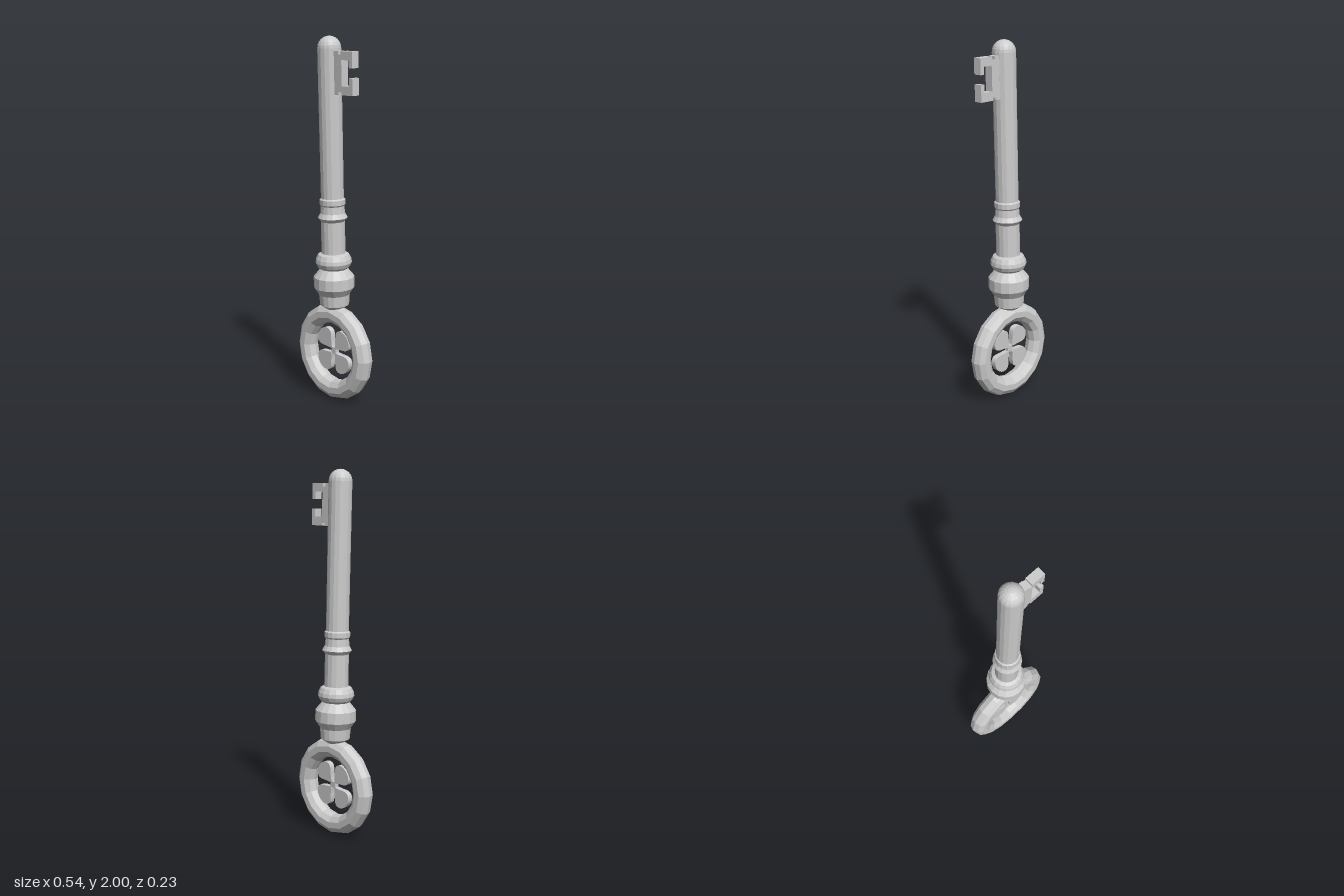
import * as THREE from 'three';

const material = new THREE.MeshStandardMaterial({ color: 0xcccccc, flatShading: true });

function add(parent, name, geometry, x = 0, y = 0, z = 0) {
  const mesh = new THREE.Mesh(geometry, material);
  mesh.name = name;
  mesh.position.set(x, y, z);
  parent.add(mesh);
  return mesh;
}

// Extrude a shape so that its depth is centred on z = 0
function plate(shape, depth) {
  const geometry = new THREE.ExtrudeGeometry(shape, { depth, bevelEnabled: false, curveSegments: 5 });
  return geometry.translate(0, 0, -depth / 2);
}

const points = (list) => list.map(([x, y]) => new THREE.Vector2(x, y));

export function createModel() {
  const key = new THREE.Group();
  key.name = 'key';

  // Round bow
  add(key, 'bowRing', new THREE.TorusGeometry(0.218, 0.054, 10, 16), -0.002, 0.272, -0.005);

  // Four-petalled ornament inside the bow
  const flower = new THREE.Group();
  flower.name = 'flower';
  flower.position.set(0, 0.278, -0.005);
  key.add(flower);
  const half = [[0.024, 0.007], [0.045, 0.023], [0.07, 0.046], [0.095, 0.06], [0.12, 0.052], [0.137, 0.03]];
  const outline = [...half, [0.143, 0], ...half.map(([x, y]) => [x, -y]).reverse()];
  const petal = new THREE.Shape().setFromPoints(
    new THREE.SplineCurve(points(outline)).getPoints(32));
  for (let i = 0; i < 4; i++) {
    const angle = Math.PI / 4 + i * Math.PI / 2;
    add(flower, 'petal', plate(petal, 0.03)).rotation.z = angle;
    add(flower, 'petalStem', new THREE.BoxGeometry(0.03, 0.01, 0.02),
      0.02 * Math.cos(angle), 0.02 * Math.sin(angle)).rotation.z = angle;
  }
  add(flower, 'flowerCentre', new THREE.BoxGeometry(0.036, 0.036, 0.026));

  // Shank leans slightly forward towards the tip
  const shank = new THREE.Group();
  shank.name = 'shank';
  shank.position.set(-0.004, 0, -0.02);
  shank.rotation.x = 0.028;
  key.add(shank);

  // Turned collars, shaft and rounded tip in one profile
  const profile = [
    [0, 0.51], [0.035, 0.515], [0.08, 0.545], [0.085, 0.605], [0.112, 0.645], [0.112, 0.705],
    [0.075, 0.75], [0.09, 0.763], [0.1, 0.785], [0.097, 0.805], [0.085, 0.83], [0.066, 0.838],
    [0.065, 1.015], [0.081, 1.035], [0.067, 1.06], [0.064, 1.1], [0.07, 1.108], [0.07, 1.135],
    [0.062, 1.142], [0.063, 1.938],
  ];
  for (let i = 1; i <= 6; i++) {
    const a = i * Math.PI / 12;
    profile.push([i === 6 ? 0 : 0.063 * Math.cos(a), 1.938 + 0.063 * Math.sin(a)]);
  }
  add(shank, 'shaft', new THREE.LatheGeometry(points(profile), 16));

  // Notched bit at the tip
  const bit = new THREE.Shape(points([
    [0.03, 1.7], [0.09, 1.7], [0.09, 1.715], [0.11, 1.715], [0.11, 1.7], [0.192, 1.7],
    [0.192, 1.79], [0.168, 1.79], [0.168, 1.747], [0.113, 1.747], [0.113, 1.88], [0.168, 1.88],
    [0.168, 1.84], [0.192, 1.84], [0.192, 1.925], [0.11, 1.925], [0.11, 1.908], [0.09, 1.908],
    [0.09, 1.925], [0.03, 1.925],
  ]));
  add(shank, 'bit', plate(bit, 0.047));

  return key;
}
